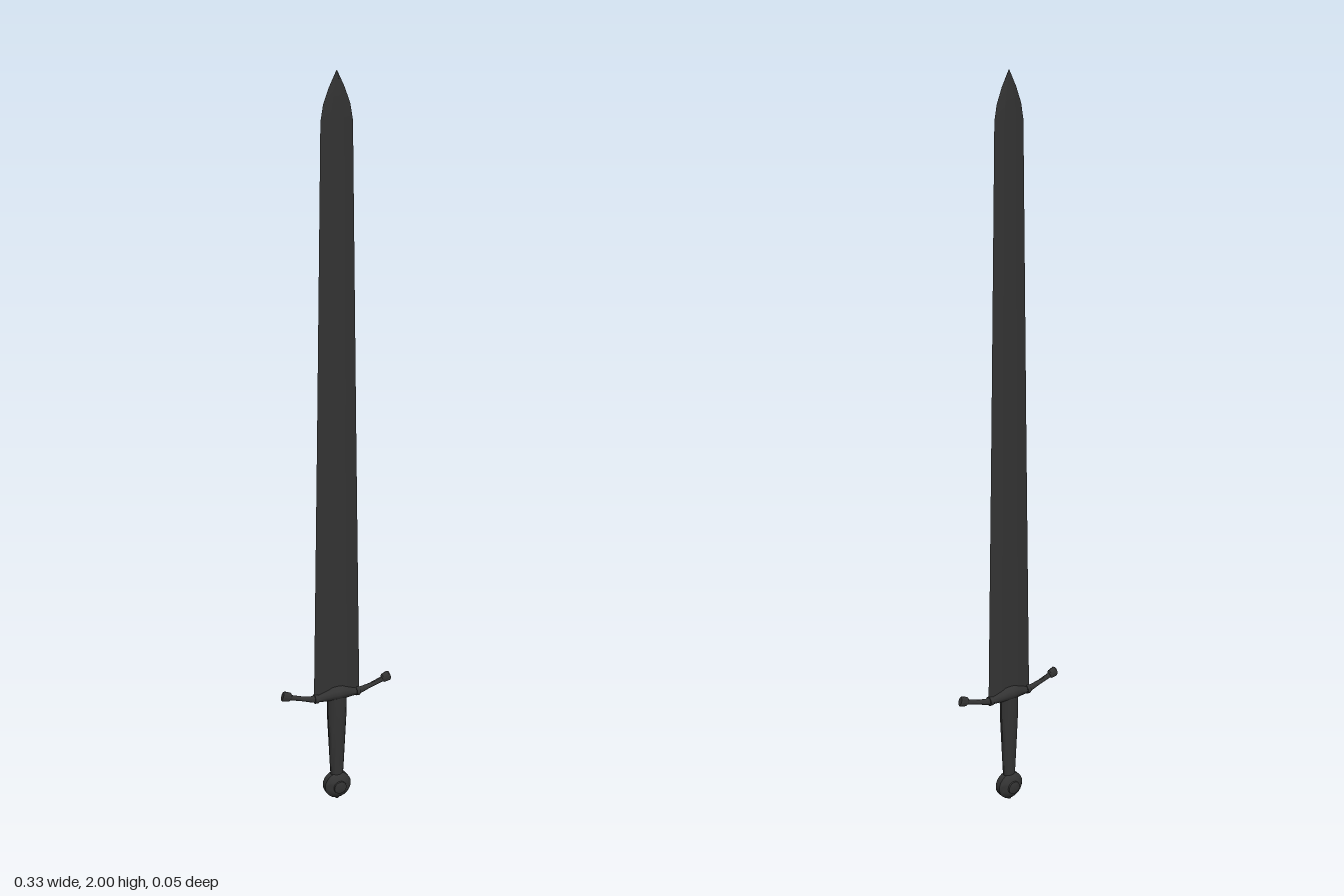
import * as THREE from 'three';
import { toCreasedNormals } from 'three/addons/utils/BufferGeometryUtils.js';

const steel = new THREE.MeshStandardMaterial({ color: 0x333333 });

// Skin a list of equal-length rings (counter-clockwise about the loft direction), with end caps
function loft(rings, crease = 0.6) {
  const n = rings[0].length;
  const pos = rings.flat().flatMap((p) => p.toArray());
  const idx = [];
  for (let i = 0; i < rings.length - 1; i++) {
    for (let j = 0; j < n; j++) {
      const a = i * n + j, b = i * n + (j + 1) % n;
      idx.push(a, b, b + n, a, b + n, a + n);
    }
  }
  const last = (rings.length - 1) * n;
  for (let j = 1; j < n - 1; j++) {
    idx.push(0, j + 1, j, last, last + j, last + j + 1);
  }
  const g = new THREE.BufferGeometry();
  g.setAttribute('position', new THREE.Float32BufferAttribute(pos, 3));
  g.setIndex(idx);
  return toCreasedNormals(g, crease);
}

function add(parent, name, geometry) {
  const mesh = new THREE.Mesh(geometry, steel);
  mesh.name = name;
  parent.add(mesh);
  return mesh;
}

// Elliptical ring across the x axis
function ringX(x, y, hy, hz, n = 12) {
  return Array.from({ length: n }, (_, i) => {
    const a = (i / n) * Math.PI * 2;
    return new THREE.Vector3(x, y + hy * Math.cos(a), hz * Math.sin(a));
  });
}

// Elliptical ring across the y axis
function ringY(y, hx, hz, n = 14) {
  return Array.from({ length: n }, (_, i) => {
    const a = (i / n) * Math.PI * 2;
    return new THREE.Vector3(hx * Math.sin(a), y, hz * Math.cos(a));
  });
}

// Flattened section with two sharp edges
function bladeRing(y, w, t) {
  return [[0.4, 1], [1, 0], [0.4, -1], [-0.4, -1], [-1, 0], [-0.4, 1]]
    .map(([x, z]) => new THREE.Vector3(x * w, y, z * t));
}

export function createModel() {
  const sword = new THREE.Group();
  sword.name = 'sword';

  // Tapering blade with a curved point
  const blade = [
    [0.32, 0.068, 0.006], [1.1, 0.055, 0.006], [1.88, 0.043, 0.005],
    [1.92, 0.036, 0.005], [1.96, 0.021, 0.004], [2.0, 0.001, 0.001],
  ];
  add(sword, 'blade', loft(blade.map((s) => bladeRing(...s)), 0.1));

  // Cross-guard: swollen centre, thin arms sweeping up
  const guard = new THREE.Group();
  guard.name = 'guard';
  sword.add(guard);
  const half = [
    [0, 0.332, 0.022, 0.023], [0.015, 0.332, 0.021, 0.021], [0.035, 0.328, 0.016, 0.015],
    [0.055, 0.324, 0.011, 0.01], [0.075, 0.325, 0.009, 0.008], [0.1, 0.332, 0.007, 0.006],
    [0.14, 0.345, 0.008, 0.006],
  ];
  const full = [...half.slice(1).reverse().map(([x, ...r]) => [-x, ...r]), ...half];
  add(guard, 'guardBar', loft(full.map((s) => ringX(...s))));

  for (const side of [1, -1]) {
    // Collar where the arm leaves the centre block
    const collar = add(guard, 'guardCollar', new THREE.CylinderGeometry(0.013, 0.013, 0.01, 12));
    collar.rotation.z = Math.PI / 2;
    collar.position.set(side * 0.062, 0.324, 0);

    // Flared knob at the end of the arm
    const knob = [
      [-0.013, 0, 0.009, 0.007], [-0.009, 0, 0.013, 0.0095],
      [0.008, 0, 0.015, 0.0095], [0.012, 0, 0.012, 0.007],
    ];
    const end = add(guard, 'guardKnob', loft(knob.map((s) => ringX(...s))));
    end.position.set(side * 0.149, 0.349, 0);
    end.rotation.set(0, side > 0 ? 0 : Math.PI, 0.3);
    if (side < 0) end.rotation.set(0, Math.PI, 0.3, 'YXZ');
  }

  // Oval grip, narrowing toward the pommel
  const grip = [
    [0.07, 0.018, 0.013], [0.1, 0.02, 0.014], [0.18, 0.024, 0.017],
    [0.26, 0.028, 0.019], [0.32, 0.029, 0.019],
  ];
  add(sword, 'grip', loft(grip.map((s) => ringY(...s))));

  // Wheel pommel with a raised disc on each face
  const profile = [
    [0, -0.027], [0.018, -0.027], [0.019, -0.023], [0.032, -0.016], [0.039, -0.009],
    [0.039, 0.009], [0.032, 0.016], [0.019, 0.023], [0.018, 0.027], [0, 0.027],
  ].map(([r, z]) => new THREE.Vector2(r, z));
  const pommel = add(sword, 'pommel', toCreasedNormals(new THREE.LatheGeometry(profile, 24), 0.5));
  pommel.rotation.x = Math.PI / 2;
  pommel.position.y = 0.044;

  // Small rivet under the pommel
  const rivet = add(sword, 'pommelRivet', new THREE.CylinderGeometry(0.009, 0.006, 0.012, 10));
  rivet.position.y = 0.006;
  return sword;
}
